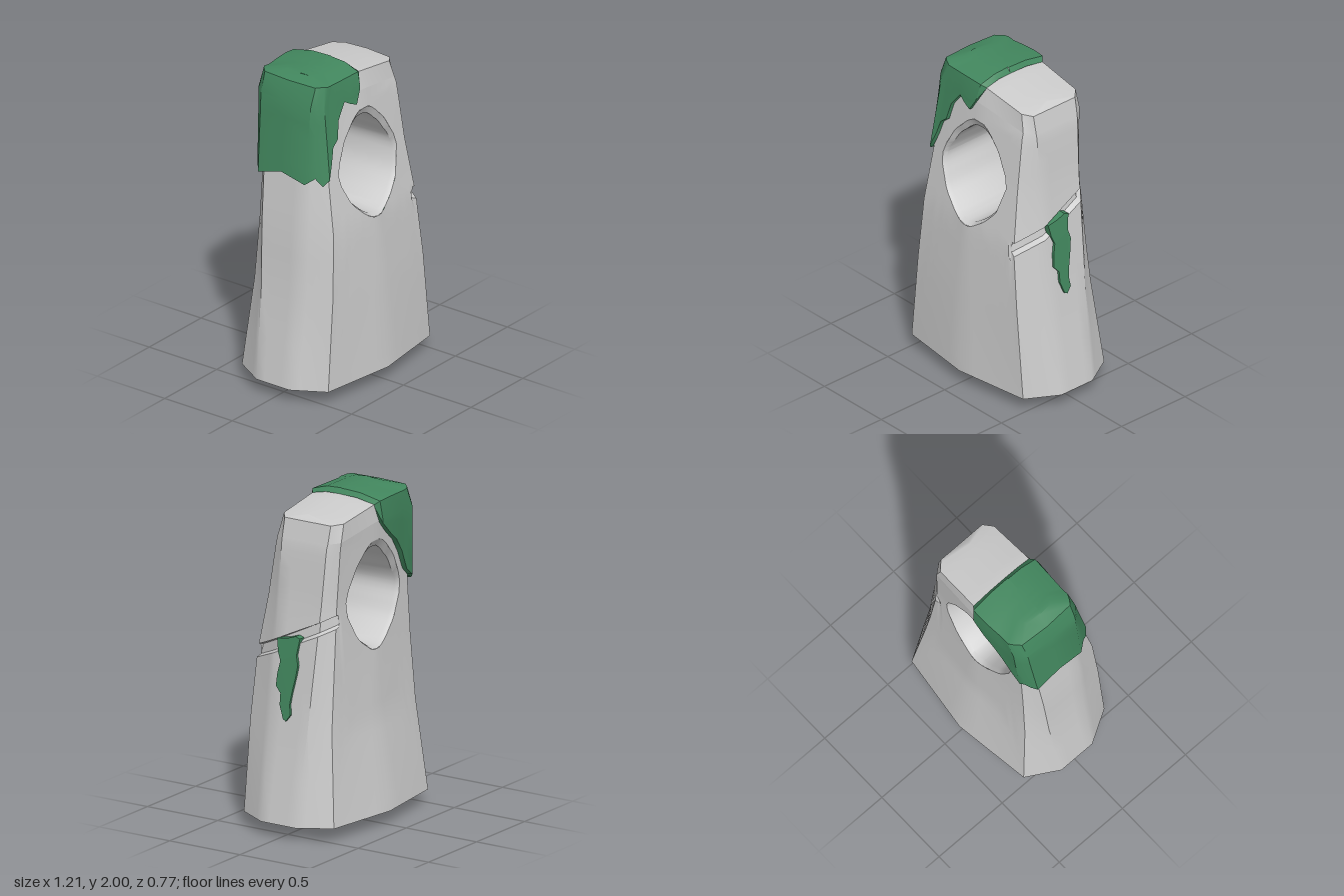
import * as THREE from 'three';
import { toCreasedNormals } from 'three/addons/utils/BufferGeometryUtils.js';

const mat = (color, flatShading = false) => new THREE.MeshStandardMaterial({ color, flatShading, side: THREE.DoubleSide });
const { lerp, clamp } = THREE.MathUtils;

// Body levels: y, centre x, half width, corner x, front corner z, front ridge z, back corner z, back ridge z
const TOP = 1.84, RIM = 1.945, MID = -0.02;
const LEVELS = [
  [0.085, 0, 0.605, 0.49, 0.32, 0.385, -0.32, -0.385],
  [0.65, -0.005, 0.52, 0.435, 0.315, 0.352, -0.265, -0.298],
  [1.05, -0.013, 0.483, 0.395, 0.297, 0.326, -0.25, -0.277],
  [1.4, -0.017, 0.438, 0.367, 0.24, 0.273, -0.245, -0.266],
  [TOP, -0.01, 0.392, 0.343, 0.178, 0.2, -0.265, -0.284],
  [RIM, 0, 0.358, 0.302, 0.163, 0.168, -0.262, -0.272],
];

// Piecewise linear lookup in a table sorted by its first column
function lookup(table, k) {
  let i = 0;
  while (i < table.length - 2 && k > table[i + 1][0]) i++;
  const a = table[i], b = table[i + 1];
  const t = clamp((k - a[0]) / (b[0] - a[0]), 0, 1);
  return a.map((v, n) => lerp(v, b[n], t));
}

// Point on the ten-sided section; u runs front 0-2, left side 2-5, back 5-7, right side 7-10
function section(u, y) {
  const [, cx, s, c, fc, fm, bc, bm] = lookup(LEVELS, y);
  const sb = -0.12 - 0.045 * y;
  const ring = [[-c, fc], [0, fm], [c, fc], [s, 0.12], [s, sb], [c, bc], [0, bm], [-c, bc], [-s, sb], [-s, 0.12]];
  const i = Math.floor(u), t = u - i;
  const a = ring[i % 10], b = ring[(i + 1) % 10];
  return new THREE.Vector3(cx + lerp(a[0], b[0], t), y, lerp(a[1], b[1], t));
}

// Height of the slanted cut round the left side
const grooveY = (u) => 1.19 - 0.48 * section(clamp(u, 2, 5), 1.15).z - Math.max(0, 2 - u) * 0.4;

// Body surface: section with the cut and the sloping top
function surface(u, y) {
  const p = section(u, y);
  const w = clamp(Math.min((u - 1.88) / 0.12, (5.12 - u) / 0.12), 0, 1);
  if (w > 0 && Math.abs(y - grooveY(u)) < 0.034) {
    p.x -= 0.028 * w;
    p.z *= 1 - 0.05 * w;
  }
  p.y -= 0.15 * Math.max(0, p.x) * clamp((y - 1.75) / 0.09, 0, 1);
  return p;
}

// Grid patch from fn(i, j), smooth except at sharp edges
function grid(nu, nv, fn, flip = false) {
  const pos = [], idx = [];
  for (let j = 0; j <= nv; j++) for (let i = 0; i <= nu; i++) pos.push(...fn(i, j).toArray());
  for (let j = 0; j < nv; j++) for (let i = 0; i < nu; i++) {
    const a = j * (nu + 1) + i, b = a + 1, d = a + nu + 1, c = d + 1;
    idx.push(...(flip ? [a, d, b, b, d, c] : [a, b, d, b, c, d]));
  }
  const g = new THREE.BufferGeometry();
  g.setAttribute('position', new THREE.Float32BufferAttribute(pos, 3));
  g.setIndex(idx);
  return toCreasedNormals(g, 0.6);
}

// Window outline as angle and radius round its centre
const HX = -0.02, HY = 1.4;
const HOLE = [[0.26, 1.41], [0.2, 1.54], [0.12, 1.65], [0.03, 1.725], [-0.06, 1.725], [-0.16, 1.64], [-0.25, 1.51],
  [-0.3, 1.38], [-0.26, 1.28], [-0.16, 1.14], [-0.05, 1.06], [0.02, 1.06], [0.08, 1.1], [0.17, 1.18], [0.25, 1.33]]
  .map(([x, y]) => [Math.atan2(y - HY, x - HX), Math.hypot(x - HX, y - HY)]).sort((a, b) => a[0] - b[0]);
const last = HOLE[HOLE.length - 1], first = HOLE[0];
const WRAP = [[last[0] - 2 * Math.PI, last[1]], ...HOLE, [first[0] + 2 * Math.PI, first[1]]];
function holePoint(angle, scale = 1) {
  const r = lookup(WRAP, angle)[1] * scale;
  return [HX + r * Math.cos(angle), HY + r * Math.sin(angle)];
}

const plainRows = [0.085, 0.35, 0.65, 0.9, 1.05, 1.2, 1.3, 1.4, 1.5, 1.6, 1.7, 1.77, TOP];
const cutRows = (u) => {
  const g = grooveY(u);
  return [0.085, 0.35, 0.65, 0.9, g - 0.045, g - 0.028, g + 0.032, g + 0.037, 1.4, 1.5, 1.6, 1.7, 1.77, TOP];
};

// u on the front or back face for a given x and y
function faceU(x, y, back) {
  const [, cx, , c] = lookup(LEVELS, y);
  const k = clamp((x - cx) / c, -1, 1);
  return back ? 6 - k : 1 + k;
}

// Front or back face, stretched from its border in to the window
function face(back) {
  const border = [];
  const edge = (k, y) => { const l = lookup(LEVELS, y); border.push([l[1] + k * l[3], y]); };
  for (let i = 0; i < 8; i++) edge(-1 + i / 4, 0.085);
  cutRows(back ? 5 : 2).forEach((y) => edge(1, y));
  for (let i = 1; i < 12; i++) edge(1 - i / 6, TOP);
  [...plainRows].reverse().forEach((y) => edge(-1, y));
  return grid(border.length - 1, 12, (i, j) => {
    const [bx, by] = border[i];
    const [hx, hy] = holePoint(Math.atan2(by - HY, bx - HX));
    const t = j / 12, x = lerp(bx, hx, t), y = lerp(by, hy, t);
    return surface(faceU(x, y, back), y);
  }, back);
}

// Window tunnel with a bevelled rim and a lower ceiling inside
function tunnel() {
  const n = 48;
  return grid(n, 3, (i, j) => {
    const angle = -Math.PI + (i / n) * 2 * Math.PI;
    const inner = 0.95 - 0.09 * Math.max(0, Math.sin(angle));
    const [x, y] = holePoint(angle, j === 0 || j === 3 ? 1 : inner);
    const p = surface(faceU(x, y, j > 1), y);
    p.z += [0, -0.03, 0.03, 0][j];
    return p;
  });
}

// Moss lower edge: u, y, thickness
const MOSS = [[6, 1.93, 0], [6.08, 1.83, 0.025], [6.3, 1.75, 0.03], [6.5, 1.69, 0.03], [6.68, 1.6, 0.028],
  [6.85, 1.47, 0.025], [7, 1.42, 0.03], [7.3, 1.43, 0.035], [7.6, 1.39, 0.035], [8, 1.37, 0.035], [8.5, 1.42, 0.035],
  [9, 1.38, 0.035], [9.4, 1.42, 0.035], [9.7, 1.37, 0.03], [10, 1.41, 0.025], [10.08, 1.5, 0.02], [10.14, 1.59, 0.02],
  [10.26, 1.63, 0.02], [10.32, 1.74, 0.02], [10.5, 1.83, 0.02], [10.64, 1.8, 0.02], [10.78, 1.78, 0.02],
  [10.9, 1.86, 0.02], [11, 1.94, 0]];

function mossCap() {
  return grid(MOSS.length - 1, 9, (i, j) => {
    const [u, y0, thick] = MOSS[i];
    const y = j < 7 ? lerp(y0, Math.max(TOP, y0), Math.max(0, j - 1) / 5) : RIM;
    const p = surface(u, y);
    const out = new THREE.Vector3(p.x * 0.7, 0, (p.z - MID) * 1.6).normalize();
    p.addScaledVector(out, j === 0 ? -0.01 : thick);
    if (j === 6) p.y += thick * 0.5;
    if (j > 6) {
      const t = (j - 7) / 2;
      p.x *= 1 - 0.2 * Math.min(1, t * 2);
      p.z = lerp(p.z, MID, t);
      p.y = lerp(RIM + thick * 0.8, thick ? 2 : 1.97, Math.min(1, t * 1.7));
    }
    return p;
  });
}

// Moss streak hanging below the cut
function mossStreak() {
  const outline = [[0.1, 1.18], [0.03, 1.19], [-0.03, 1.21], [-0.06, 1.2], [-0.045, 1.1], [-0.06, 1.04], [-0.05, 0.97],
    [-0.03, 0.87], [-0.02, 0.8], [-0.03, 0.74], [0, 0.7], [0.02, 0.71], [0.05, 0.79], [0.05, 0.86], [0.085, 0.9],
    [0.08, 0.98], [0.065, 1.05], [0.085, 1.1]];
  const g = new THREE.ExtrudeGeometry(new THREE.Shape(outline.map(([z, y]) => new THREE.Vector2(-z, y))),
    { depth: 0.05, bevelEnabled: false });
  g.rotateY(Math.PI / 2);
  const p = g.attributes.position;
  for (let i = 0; i < p.count; i++) {
    const [, cx, s] = lookup(LEVELS, p.getY(i));
    p.setX(i, p.getX(i) + cx + s - 0.035);
  }
  g.computeVertexNormals();
  return g;
}

export function createModel() {
  const root = new THREE.Group();
  const stone = mat(0xcccccc), facetedStone = mat(0xcccccc, true), moss = mat(0x42875e), gold = mat(0xc8964a, true);
  const add = (name, geometry, material) => {
    const m = new THREE.Mesh(geometry, material);
    m.name = name;
    root.add(m);
  };

  // Hollow stone body, open below
  add('frontFace', face(false), stone);
  add('backFace', face(true), stone);
  add('window', tunnel(), stone);
  add('leftSide', grid(12, 13, (i, j) => surface(2 + i / 4, cutRows(2 + i / 4)[j])), stone);
  add('rightSide', grid(12, 12, (i, j) => surface(7 + i / 4, plainRows[j])), stone);
  add('top', grid(40, 2, (i, j) => {
    const p = surface(i / 4, j ? RIM : TOP);
    if (j === 2) {
      p.x *= 0.9;
      p.y = 1.97 - 0.15 * Math.max(0, p.x);
      p.z = MID;
    }
    return p;
  }), stone);

  // Collar hanging inside the body, holding the gem
  const lathe = (pts, n) => new THREE.LatheGeometry(pts.map(([r, y]) => new THREE.Vector2(r, y)), n);
  add('collar', lathe([[0.27, 0.4], [0.27, 0.085], [0.19, 0.085], [0.16, 0.13], [0, 0.13]], 6).rotateY(0.25), facetedStone);
  add('gem', lathe([[0, 0], [0.04, 0.008], [0.078, 0.085], [0.135, 0.135]], 6), gold);

  // Moss
  add('mossCap', mossCap(), moss);
  add('mossStreak', mossStreak(), moss);
  return root;
}
